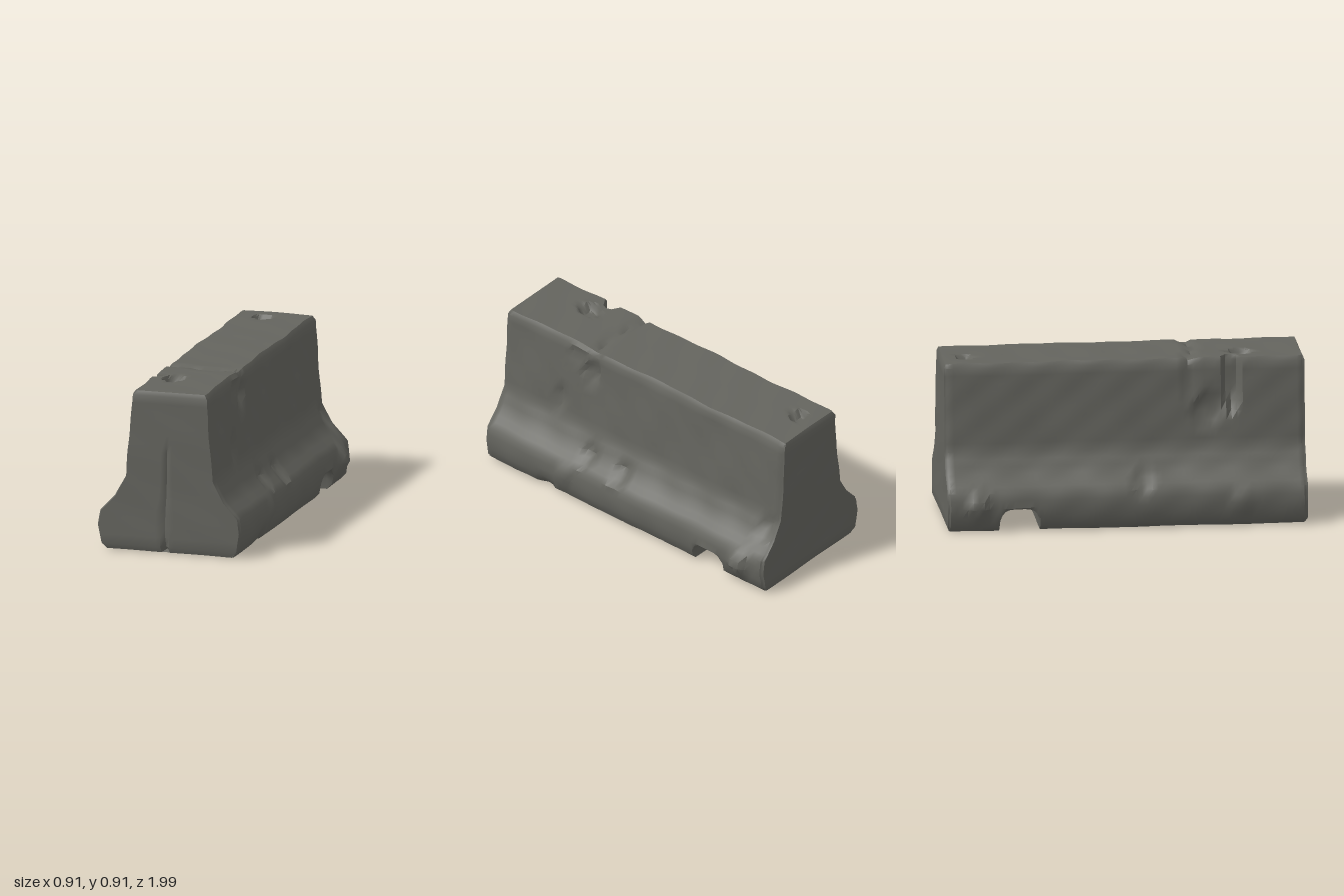
import * as THREE from 'three';
import { mergeVertices, toCreasedNormals } from 'three/addons/utils/BufferGeometryUtils.js';

// Cross-section of one half: [half width, height], bottom to top
const PROFILE = subdivide([
  [0.365, 0.006], [0.395, 0.035], [0.415, 0.14], [0.402, 0.222], [0.318, 0.31],
  [0.257, 0.42], [0.23, 0.71], [0.216, 0.885], [0.198, 0.908],
], 0.055);

// Rectangular slot through the base
const SLOT = { z: -0.592, half: 0.112, height: 0.132 };

// Side damage: [side, y, z, radius y, radius z, depth]; a negative depth bulges out
const SIDE_DAMAGE = [
  [1, 0.15, -0.82, 0.08, 0.07, -0.036], [-1, 0.15, -0.82, 0.08, 0.07, -0.036],
  [1, 0.15, 0.44, 0.07, 0.06, -0.015], [-1, 0.15, 0.63, 0.07, 0.06, -0.015],
  [-1, 0.8, 0.59, 0.23, 0.055, 0.06], [-1, 0.62, 0.46, 0.1, 0.09, 0.025],
  [1, 0.76, 0.39, 0.07, 0.07, 0.03], [1, 0.83, 0.49, 0.04, 0.07, 0.018],
  [1, 0.52, 0.59, 0.09, 0.04, 0.022], [1, 0.3, 0.32, 0.06, 0.05, 0.02],
  [1, 0.28, 0.08, 0.06, 0.06, 0.022], [1, 0.36, -0.92, 0.06, 0.06, 0.025],
  [-1, 0.26, 0.09, 0.06, 0.06, 0.02], [1, 0.02, 0.57, 0.05, 0.06, 0.022],
];
// Pits in the top: [x, z, radius x, radius z, depth]
const TOP_PITS = [[-0.05, -0.86, 0.06, 0.045, 0.04], [-0.075, 0.65, 0.06, 0.07, 0.05]];

const COLUMN_COUNT = 40, CENTRE_SPLIT = 19;
const STATIONS = makeStations();

// Adds points along a polyline so that no step is longer than the given length
function subdivide(points, step) {
  const result = [points[0]];
  for (let i = 1; i < points.length; i++) {
    const [a, b] = [points[i - 1], points[i]];
    const n = Math.ceil(Math.hypot(b[0] - a[0], b[1] - a[1]) / step);
    for (let k = 1; k <= n; k++) result.push(a.map((v, m) => v + (b[m] - v) * k / n));
  }
  return result;
}

// Positions along the length, crowded at the ends and at the slot walls
function makeStations() {
  const list = [-0.995, -0.972, 0.972, 0.995];
  for (let z = -0.94; z < 0.955; z += 0.03) {
    if (Math.abs(z - SLOT.z) > SLOT.half + 0.01) list.push(z);
  }
  for (let k = -6; k <= 6; k++) list.push(SLOT.z + SLOT.half * Math.sin(k * Math.PI / 12));
  return list.sort((a, b) => a - b);
}

function slotHeight(z) {
  const t = Math.min(1, Math.abs(z - SLOT.z) / SLOT.half);
  return SLOT.height * Math.cbrt(1 - t ** 4);
}

// Smooth uneven surface, between -1 and 1
function rough(x, y, z, k) {
  return Math.sin(9 * z + 5 * y + k) * Math.sin(7 * y - 4 * x + 2 * k) * 0.55
    + Math.sin(23 * z - 11 * y + 3 * k) * Math.sin(17 * y + 13 * x + k) * 0.45;
}

// Soft dent strength from scaled distances to its centre
function dent(a, b) {
  return Math.min(1, 1.7 * Math.max(0, 1 - a * a - b * b));
}

function shapePoint(i, j, k) {
  const [half, y] = PROFILE[j];
  const s = 2 * i / COLUMN_COUNT - 1;
  const u = Math.sin(1.2 * s) / Math.sin(1.2);
  const x = u * half, z = STATIONS[k];
  const side = Math.sign(u);
  const top = j === PROFILE.length - 1;
  const rim = top || j === 0 || Math.abs(s) === 1;
  const end = k === 0 || k === STATIONS.length - 1;

  // Worn surface, rougher along the upper edges
  const wear = y > 0.85 ? 0.011 : 0.007;
  let px = x + u * wear * rough(x, y, z, u > 0 ? 1 : 4);
  let py = y + 0.004 * rough(x, y, z, 2);
  let pz = z;

  // Rounded rims of the two ends
  if (end) pz -= Math.sign(z) * (rim ? 0.016 : 0.004 * (1 + rough(x, y, z, 3)));
  if (end && rim) px *= 0.98;

  // Split down the front end, opening at the base
  if (i === CENTRE_SPLIT && z > 0.98 && y < 0.6) {
    pz -= 0.012 + 0.03 * Math.max(0, 1 - y / 0.08);
    if (j === 0) py += 0.015;
  }

  // Chips, channels and bulges
  const nearSide = Math.max(0, 1 - ((1 - Math.abs(u)) / 0.35) ** 2);
  for (const [which, cy, cz, ry, rz, depth] of SIDE_DAMAGE) {
    if (which === side) px -= side * depth * nearSide * dent((y - cy) / ry, (z - cz) / rz);
  }
  if (top) {
    for (const [cx, cz, rx, rz, depth] of TOP_PITS) {
      py -= depth * dent((x - cx) / rx, (z - cz) / rz);
    }
  }

  // Crack across the top and a little way down both sides
  const crack = 0.375 + 0.018 * Math.sin(14 * x + 1);
  const open = Math.max(0, 1 - Math.abs(z - crack) / 0.032);
  if (y > 0.87) py -= 0.022 * open;
  if (y > 0.7 && Math.abs(u) > 0.9) px -= side * 0.016 * open;

  return [px, Math.max(py, slotHeight(z)), pz];
}

export function createModel() {
  const concrete = new THREE.MeshStandardMaterial({ color: 0x64645e });
  concrete.name = 'grey concrete';

  // A gridded box whose vertices are moved onto the worn barrier
  const nx = COLUMN_COUNT, ny = PROFILE.length - 1, nz = STATIONS.length - 1;
  const box = new THREE.BoxGeometry(nx, ny, nz, nx, ny, nz);
  const pos = box.attributes.position;
  for (let n = 0; n < pos.count; n++) {
    pos.setXYZ(n, ...shapePoint(
      Math.round(pos.getX(n) + nx / 2),
      Math.round(pos.getY(n) + ny / 2),
      Math.round(pos.getZ(n) + nz / 2),
    ));
  }
  box.deleteAttribute('normal');
  box.deleteAttribute('uv');
  box.clearGroups();

  const barrier = new THREE.Mesh(toCreasedNormals(mergeVertices(box), 0.75), concrete);
  barrier.name = 'concreteBarrier';
  const group = new THREE.Group();
  group.name = 'roadBarrier';
  group.add(barrier);
  return group;
}
